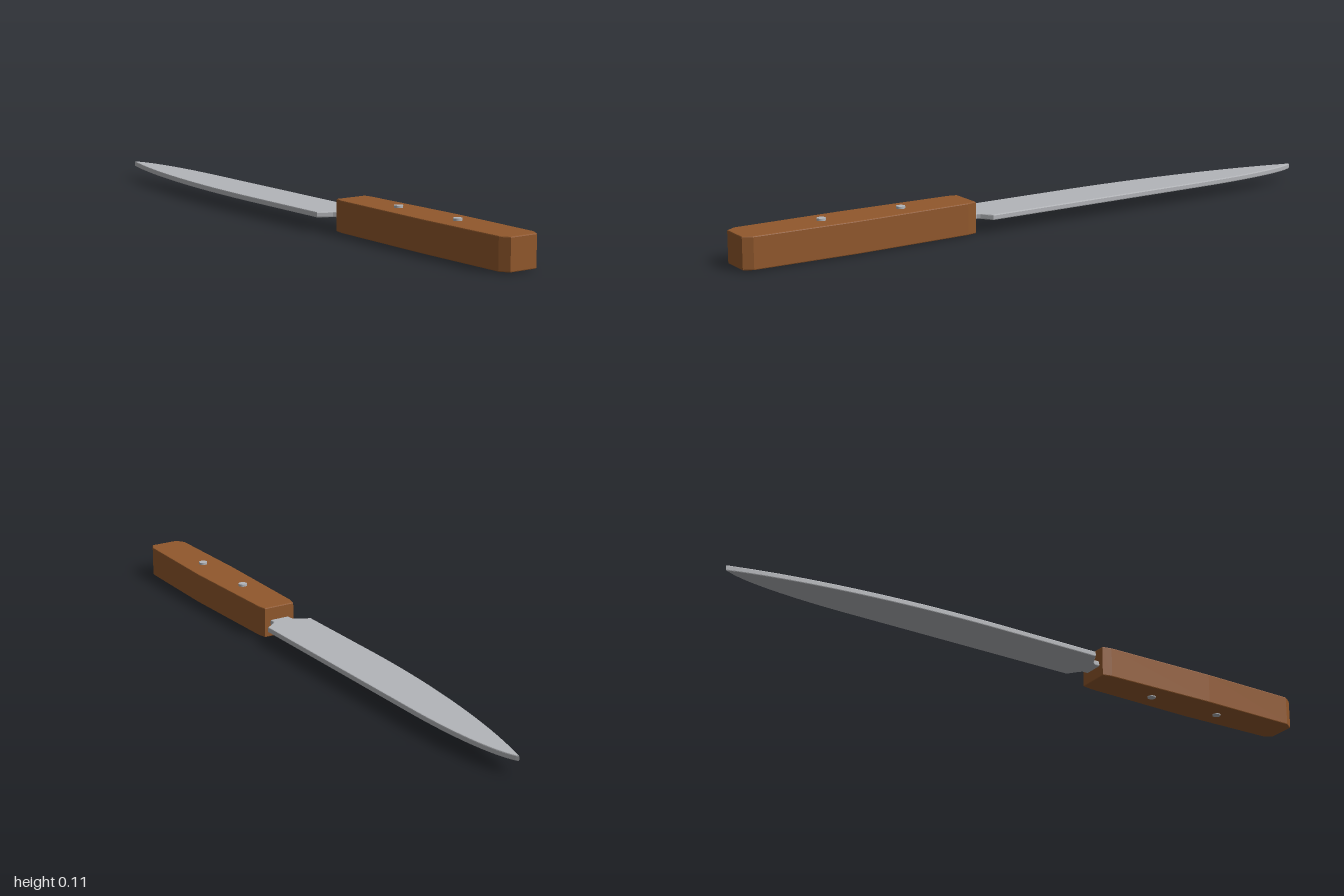
import * as THREE from 'three';

// Extrudes a plan outline upward between two heights, with a small bevel
function slab(shape, bottom, top, bevel, material, name) {
  const geometry = new THREE.ExtrudeGeometry(shape, {
    depth: top - bottom - 2 * bevel,
    bevelEnabled: true,
    bevelThickness: bevel,
    bevelSize: bevel,
    bevelOffset: -bevel,
    bevelSegments: 2,
    curveSegments: 20,
  });
  geometry.rotateX(-Math.PI / 2);
  geometry.translate(0, bottom + bevel, 0);
  const mesh = new THREE.Mesh(geometry, material);
  mesh.name = name;
  return mesh;
}

export function createModel() {
  const steel = new THREE.MeshStandardMaterial({ color: 0xb3b5b9 });
  steel.name = 'steel';
  const wood = new THREE.MeshStandardMaterial({ color: 0x91582c });
  wood.name = 'wood';

  const model = new THREE.Group();
  model.name = 'knife';

  // Blade: straight spine, curved cutting edge and a narrow tang (shape y is -z)
  const blade = new THREE.Shape();
  blade.moveTo(-0.028, -0.3);
  blade.lineTo(-0.028, -0.228);
  blade.lineTo(-0.038, -0.217);
  blade.lineTo(-0.08, -0.195);
  blade.lineTo(-0.08, 0.15);
  blade.bezierCurveTo(-0.08, 0.45, -0.045, 0.78, 0.021, 1);
  blade.bezierCurveTo(0.06, 0.94, 0.077, 0.76, 0.077, 0.58);
  blade.lineTo(0.077, -0.195);
  blade.lineTo(0.043, -0.22);
  blade.lineTo(0.037, -0.228);
  blade.lineTo(0.037, -0.3);
  blade.closePath();
  model.add(slab(blade, 0.04, 0.057, 0.003, steel, 'blade'));

  // Handle: gently swelling grip with clipped corners
  const grip = [
    [-0.04, -1], [0.052, -1], [0.066, -0.972], [0.073, -0.65],
    [0.064, -0.275], [0.058, -0.245], [-0.046, -0.245],
    [-0.053, -0.275], [-0.061, -0.65], [-0.058, -0.972],
  ].map(([x, y]) => new THREE.Vector2(x, y));
  model.add(slab(new THREE.Shape(grip), 0.003, 0.1, 0.003, wood, 'handle'));

  // Rivets pass right through the handle
  for (const z of [0.47, 0.73]) {
    const rivet = new THREE.Mesh(new THREE.CylinderGeometry(0.0135, 0.0135, 0.107, 16), steel);
    rivet.position.set(0.006, 0.0535, z);
    rivet.name = 'rivet';
    model.add(rivet);
  }
  return model;
}
